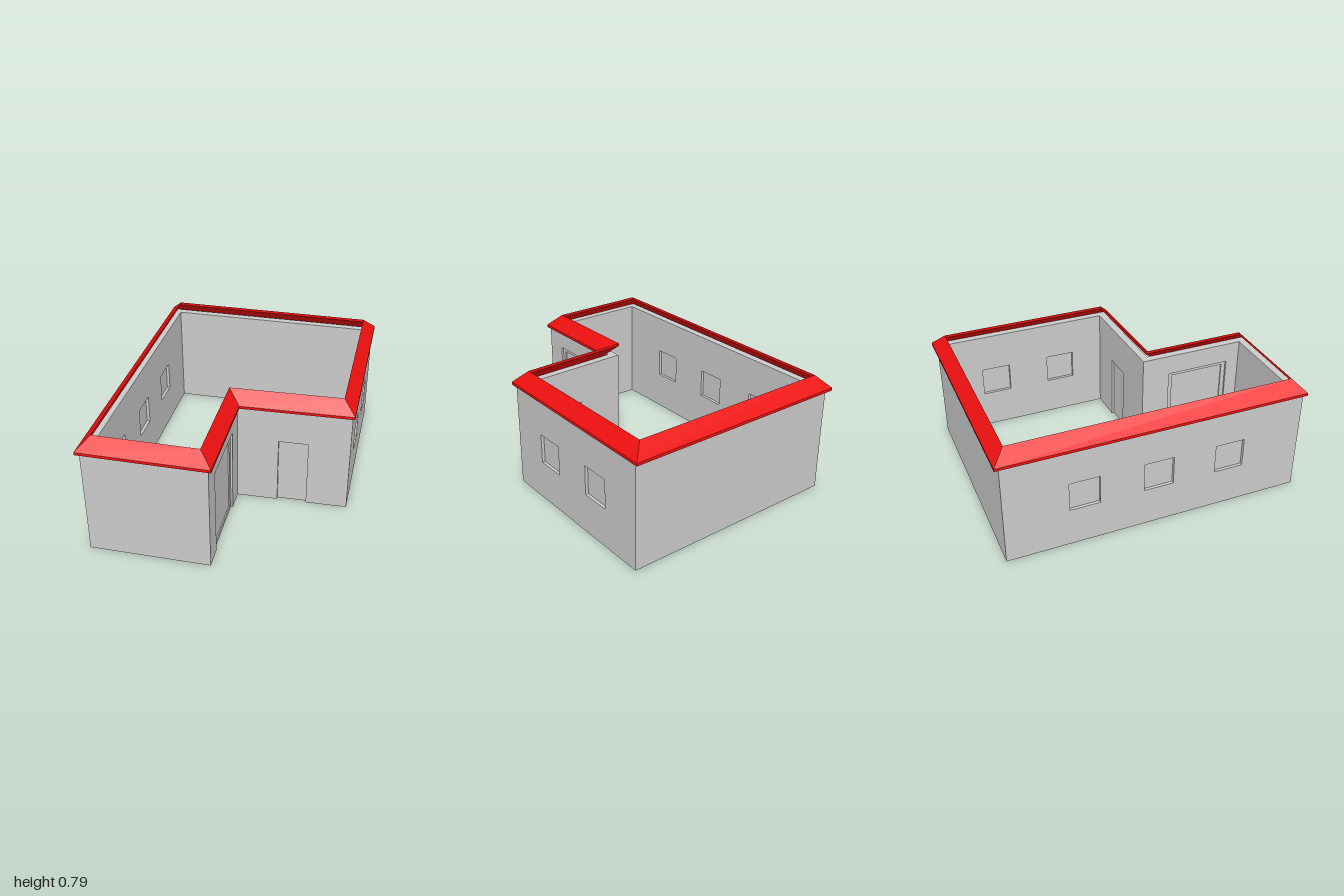
import * as THREE from 'three';

const THICK = 0.05, WALL_TOP = 0.71;
const grey = new THREE.MeshStandardMaterial({ color: 0xcccccc, flatShading: true });
const red = new THREE.MeshStandardMaterial({ color: 0xf01010, flatShading: true });
const V = (x, z) => new THREE.Vector2(x, z);

// L-shaped outlines, starting at the front corner on the -x side
const wallLine = [V(-0.735, 0.985), V(0.025, 0.985), V(0.025, 0.27), V(0.745, 0.25), V(0.745, -0.97), V(-0.735, -0.97)];
const eaveLine = [V(-0.76, 1), V(0.045, 1), V(0.045, 0.305), V(0.76, 0.28), V(0.76, -1), V(-0.76, -1)];

// Move every corner of an outline inward, keeping mitred corners
function inset(points, d) {
  const n = points.length;
  const outward = (a, b) => { const e = b.clone().sub(a).normalize(); return V(-e.y, e.x); };
  return points.map((p, i) => {
    const n1 = outward(points[(i + n - 1) % n], p), n2 = outward(p, points[(i + 1) % n]);
    return p.clone().addScaledVector(n1.clone().add(n2), -d / (1 + n1.dot(n2)));
  });
}

function rect(PathType, u0, u1, y0, y1) {
  return new PathType([V(u0, y0), V(u1, y0), V(u1, y1), V(u0, y1)]);
}

function slab(name, u0, u1, y0, y1, depth) {
  const mesh = new THREE.Mesh(new THREE.BoxGeometry(u1 - u0, y1 - y0, depth), grey);
  mesh.position.set((u0 + u1) / 2, (y0 + y1) / 2, -THICK / 2);
  mesh.name = name;
  return mesh;
}

// One wall in its own frame: u along the wall, y up, z outward (0 = outer face)
function wall(name, i, { windows = [], door, garage } = {}) {
  const a = wallLine[i], b = wallLine[(i + 1) % 6];
  const inner = inset(wallLine, THICK);
  const dir = b.clone().sub(a), len = dir.length();
  dir.normalize();
  const group = new THREE.Group();
  group.name = name;
  group.position.set(a.x, 0, a.y);
  group.rotation.y = Math.atan2(-dir.y, dir.x);

  // Doorways are notches in the outline, windows are holes
  const opening = door || garage;
  const outline = [V(0, 0)];
  if (opening) {
    const [u0, u1, h] = opening;
    outline.push(V(u0, 0), V(u0, h), V(u1, h), V(u1, 0));
  }
  outline.push(V(len, 0), V(len, WALL_TOP), V(0, WALL_TOP));
  const shape = new THREE.Shape(outline);
  windows.forEach(u => shape.holes.push(rect(THREE.Path, u, u + 0.195, 0.26, 0.455)));
  const geo = new THREE.ExtrudeGeometry(shape, { depth: THICK, bevelEnabled: false });
  geo.translate(0, 0, -THICK);

  // Mitre the inner ends so neighbouring walls meet
  const startU = inner[i].clone().sub(a).dot(dir);
  const endU = inner[(i + 1) % 6].clone().sub(a).dot(dir);
  const pos = geo.attributes.position;
  for (let k = 0; k < pos.count; k++) {
    if (pos.getZ(k) > -THICK / 2) continue;
    if (pos.getX(k) < 1e-4) pos.setX(k, startU);
    else if (pos.getX(k) > len - 1e-4) pos.setX(k, endU);
  }
  geo.computeVertexNormals();
  const body = new THREE.Mesh(geo, grey);
  body.name = name + 'Body';
  group.add(body);

  windows.forEach(u => group.add(slab('windowPane', u, u + 0.195, 0.26, 0.455, 0.01)));
  if (door) group.add(slab('doorPanel', door[0], door[1], 0, door[2], 0.015));
  if (garage) {
    // Wide door: a frame around a thinner panel
    const [u0, u1, h] = garage;
    const frame = rect(THREE.Shape, u0, u1, 0, h);
    frame.holes.push(rect(THREE.Path, u0 + 0.03, u1 - 0.03, 0.03, h - 0.025));
    const frameMesh = new THREE.Mesh(new THREE.ExtrudeGeometry(frame, { depth: 0.024, bevelEnabled: false }), grey);
    frameMesh.position.z = -THICK / 2 - 0.012;
    frameMesh.name = 'garageDoorFrame';
    group.add(frameMesh, slab('garageDoorPanel', u0 + 0.03, u1 - 0.03, 0.03, h - 0.025, 0.008));
  }
  return group;
}

// Sloping roof edge: a slab profile (inset, height) carried round the outline
function roofEdge() {
  const profile = [[0, 0.692], [0, 0.71], [0.08, 0.79], [0.08, 0.772]];
  const rings = profile.map(([d, y]) => inset(eaveLine, d).map(p => [p.x, y, p.y]));
  const verts = [];
  for (let j = 0; j < 4; j++) {
    for (let i = 0; i < 6; i++) {
      const r = rings[j], s = rings[(j + 1) % 4], k = (i + 1) % 6;
      verts.push(...r[i], ...r[k], ...s[k], ...r[i], ...s[k], ...s[i]);
    }
  }
  const geo = new THREE.BufferGeometry();
  geo.setAttribute('position', new THREE.Float32BufferAttribute(verts, 3));
  geo.computeVertexNormals();
  const mesh = new THREE.Mesh(geo, red);
  mesh.name = 'roofEdge';
  return mesh;
}

export function createModel() {
  const model = new THREE.Group();
  model.name = 'house';
  model.add(
    wall('frontWall', 0),
    wall('garageWall', 1, { garage: [0.14, 0.575, 0.575] }),
    wall('entranceWall', 2, { door: [0.265, 0.455, 0.455] }),
    wall('leftWall', 3, { windows: [0.265, 0.74] }),
    wall('backWall', 4),
    wall('rightWall', 5, { windows: [0.405, 0.885, 1.365] }),
    roofEdge()
  );
  return model;
}
